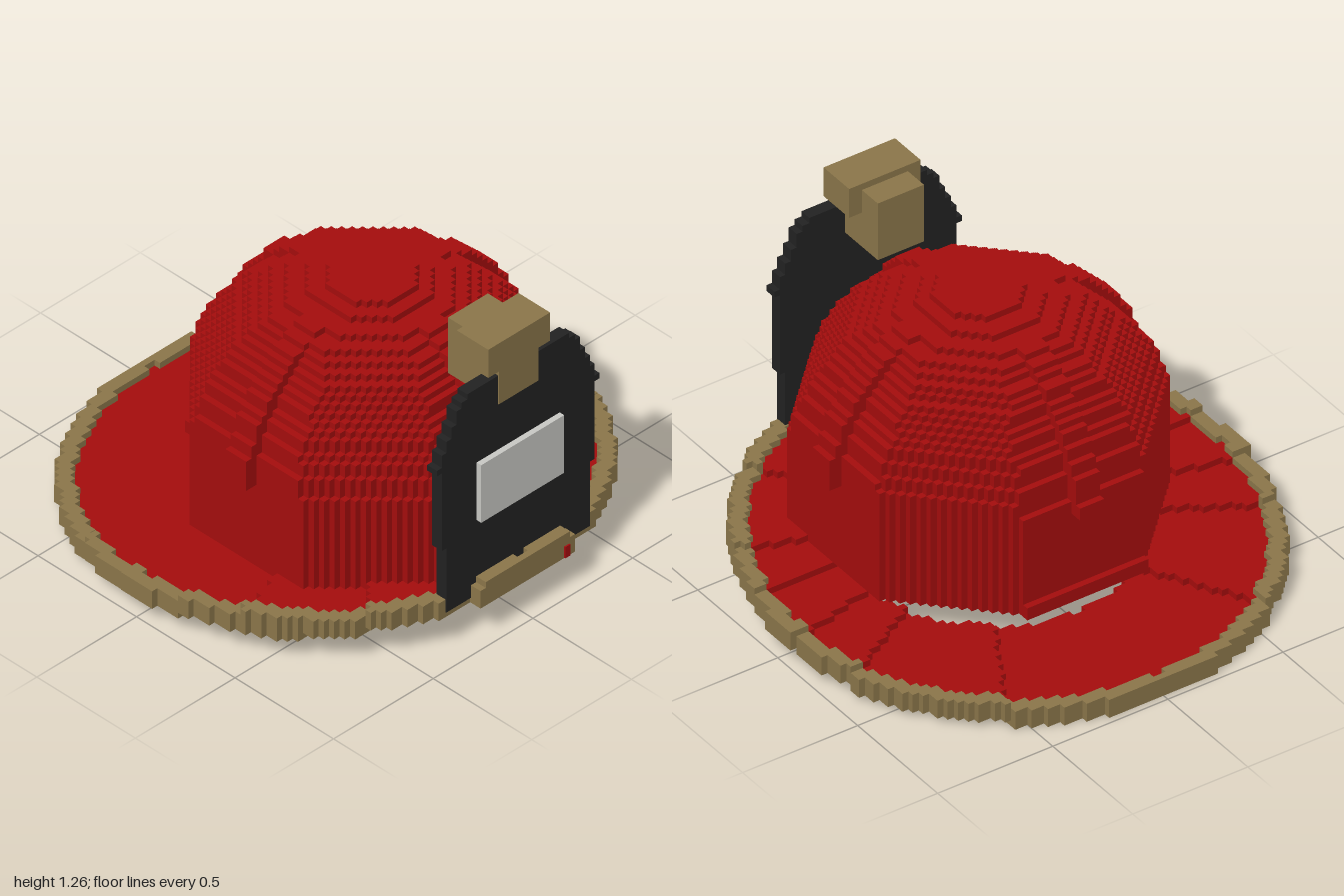
import * as THREE from 'three';

const U = 2 / 76; // cube size of the stepped surfaces
const DOME_Z = 0.175; // dome sits forward of the brim centre

const flat = (name, color) => {
  const m = new THREE.MeshStandardMaterial({ color });
  m.name = name;
  return m;
};

// Builds the exposed faces of all cubes whose centre satisfies filled(x, y, z)
function cubes(filled, layers) {
  const pos = [], nor = [], idx = [];
  const inside = (c) => filled((c[0] + 0.5) * U, (c[1] + 0.5) * U, (c[2] + 0.5) * U);
  const corners = [[0, 0], [1, 0], [1, 1], [0, 1]];
  for (let i = -39; i < 39; i++) for (let j = 0; j < layers; j++) for (let k = -39; k < 39; k++) {
    const c = [i, j, k];
    if (!inside(c)) continue;
    for (let a = 0; a < 3; a++) for (const s of [1, -1]) {
      const next = c.slice();
      next[a] += s;
      if (inside(next)) continue;
      const n = [0, 0, 0];
      n[a] = s;
      const base = pos.length / 3;
      for (const [p, q] of corners) {
        const v = c.slice();
        v[a] += s > 0 ? 1 : 0;
        v[(a + 1) % 3] += p;
        v[(a + 2) % 3] += q;
        pos.push(v[0] * U, v[1] * U, v[2] * U);
        nor.push(...n);
      }
      const order = s > 0 ? [0, 1, 2, 0, 2, 3] : [0, 2, 1, 0, 3, 2];
      idx.push(...order.map((o) => base + o));
    }
  }
  const g = new THREE.BufferGeometry();
  g.setAttribute('position', new THREE.Float32BufferAttribute(pos, 3));
  g.setAttribute('normal', new THREE.Float32BufferAttribute(nor, 3));
  g.setIndex(idx);
  return g;
}

// Dome radius by height
const PROFILE = [[0, 0.64], [0.57, 0.64], [0.66, 0.62], [0.77, 0.575], [0.9, 0.485], [0.97, 0.42],
  [1.03, 0.33], [1.066, 0.22], [1.095, 0.15], [1.105, 0]];
function domeRadius(y) {
  for (let i = 1; i < PROFILE.length; i++) {
    const [y0, r0] = PROFILE[i - 1], [y1, r1] = PROFILE[i];
    if (y <= y1) return r0 + (r1 - r0) * (y - y0) / (y1 - y0);
  }
  return 0;
}

// Hollow eight-sided dome with four raised ribs and a small lip at the back
function domeFilled(x, y, z) {
  if (y < 6 * U || y > 42 * U) return false;
  const ax = Math.abs(x), az = Math.abs(z - DOME_Z);
  const d = Math.max(ax, az, (ax + az) * Math.SQRT1_2);
  const r = domeRadius(y);
  if (d < domeRadius(y + 2 * U) - 2 * U) return false;
  if (d < r) return true;
  if (y < 8 * U && z < DOME_Z && az < r + U && ax < 0.27) return true;
  return y > 0.52 && y < 1.06 && Math.min(ax, az) < 0.055 && d < r + 0.05;
}

// Brim sections: [angle from the back, bottom layer, edge top layer]
const SECTIONS = [[30, 0, 3], [60, 1, 4], [75, 2, 5], [90, 3, 6], [105, 4, 7],
  [120, 4, 8], [135, 5, 8], [165, 6, 9], [181, 6, 10]];
function section(x, z) {
  const angle = THREE.MathUtils.radToDeg(Math.atan2(Math.abs(x), DOME_Z - z));
  return SECTIONS.find((s) => angle < s[0]);
}
const EDGE = 0.935;
function brimFilled(x, y, z) {
  if (Math.hypot(x, z) >= EDGE || Math.hypot(x, z - DOME_Z) < 0.61) return false;
  const [, low, top] = section(x, z);
  return y > low * U && y < (top - 1) * U;
}
function edgeFilled(x, y, z) {
  const r = Math.hypot(x, z);
  if (r < EDGE || r > 0.99 || Math.abs(z) > 0.965) return false;
  if (z > 0.92 && Math.abs(x) > 0.23) return false;
  const [, low, top] = section(x, z);
  return y > low * U && y < top * U;
}

// Right half of the shield outline, stepped towards the top
const SHIELD = [[0.36, 0.18], [0.36, 0.47], [0.383, 0.47], [0.383, 0.82], [0.407, 0.82], [0.407, 0.845],
  [0.383, 0.845], [0.383, 0.9], [0.36, 0.9], [0.36, 0.95], [0.335, 0.95], [0.335, 1.0],
  [0.31, 1.0], [0.31, 1.06], [0.285, 1.06], [0.285, 1.085], [0.255, 1.085], [0.255, 1.108]];

export function createModel() {
  const red = flat('red shell', 0xa50d0d);
  const brown = flat('tan trim', 0x8b764a);
  const black = flat('black shield', 0x222222);
  const pale = flat('pale panel', 0xc8c8c4);

  const model = new THREE.Group();
  model.name = 'helmet';
  const add = (name, geometry, material) => {
    const mesh = new THREE.Mesh(geometry, material);
    mesh.name = name;
    model.add(mesh);
    return mesh;
  };
  // Box given by its low and high corners
  const box = (name, lo, hi, material) => {
    const size = hi.map((h, i) => h - lo[i]);
    add(name, new THREE.BoxGeometry(...size), material)
      .position.set(...hi.map((h, i) => (h + lo[i]) / 2));
  };

  // Shell and brim
  add('dome', cubes(domeFilled, 43), red);
  add('brim', cubes(brimFilled, 12), red);
  add('brimEdge', cubes(edgeFilled, 12), brown);

  // Front shield with its panel
  const outline = [...SHIELD, ...SHIELD.map(([x, y]) => [-x, y]).reverse()];
  const shape = new THREE.Shape(outline.map(([x, y]) => new THREE.Vector2(x, y)));
  const shield = new THREE.ExtrudeGeometry(shape, { depth: 0.05, bevelEnabled: false });
  add('shield', shield, black).position.z = 0.875;
  box('shieldPanel', [-0.208, 0.515, 0.92], [0.208, 0.775, 0.948], pale);

  // Holder on top of the shield
  box('holderStem', [-0.1, 0.98, 0.67], [0.1, 1.23, 0.928], brown);
  box('holderCap', [-0.155, 1.13, 0.77], [0.155, 1.257, 0.93], brown);

  // Small red tab on the front edge
  box('frontTab', [0.182, 0.16, 0.92], [0.208, 0.21, 0.98], red);
  return model;
}
